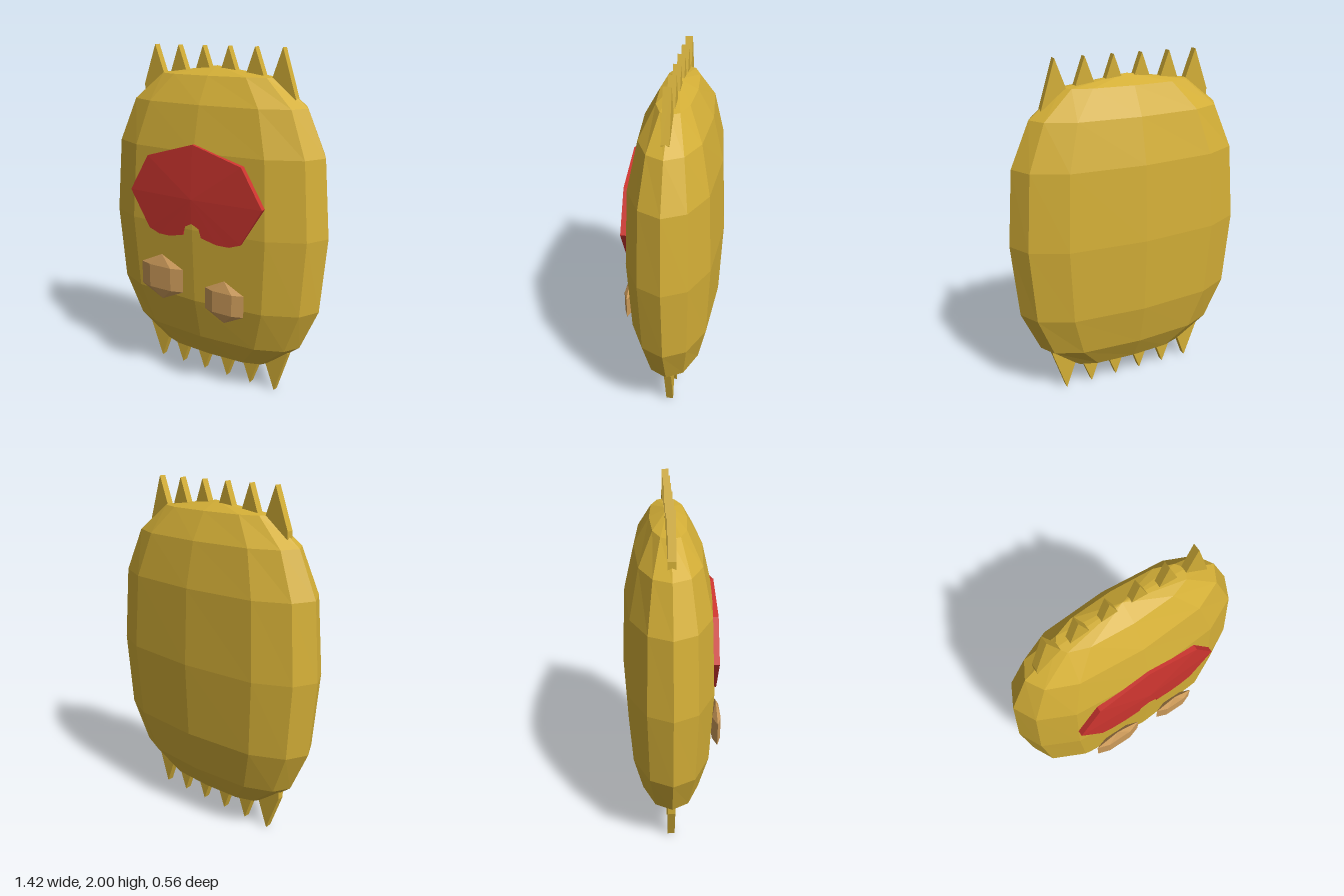
import * as THREE from 'three';

const gold = new THREE.MeshStandardMaterial({ color: 0xd4af37 });
gold.name = 'gold';
const red = new THREE.MeshStandardMaterial({ color: 0xcd352f });
red.name = 'red';
const tan = new THREE.MeshStandardMaterial({ color: 0xcd9b5a });
tan.name = 'tan';

// Faceted mesh: split the faces so each gets its own normal
function faceted(geometry, material, name) {
  const geo = geometry.index ? geometry.toNonIndexed() : geometry;
  geo.computeVertexNormals();
  const mesh = new THREE.Mesh(geo, material);
  mesh.name = name;
  return mesh;
}

// Signed power, squares off a round section
const squared = (v, e) => Math.sign(v) * Math.pow(Math.abs(v), e);

// Flattened, squared-off low-poly ball
function makeBody() {
  const geo = new THREE.SphereGeometry(1, 12, 8);
  const p = geo.attributes.position;
  for (let i = 0; i < p.count; i++) {
    const x = Math.abs(p.getX(i)) < 1e-6 ? 0 : p.getX(i);
    const y = Math.abs(p.getY(i)) < 1e-6 ? 0 : p.getY(i);
    p.setXYZ(i, 0.712 * squared(x, 0.67), 1.003 + 0.89 * squared(y, 0.74), -0.012 + 0.265 * p.getZ(i));
  }
  return faceted(geo, gold, 'body');
}

// Row of six teeth as one thin zigzag plate; dir = 1 on top, -1 below
function makeTeeth(dir, name) {
  const y = (h) => 1 + dir * h;
  const pitch = 1 / 6;
  const pts = [new THREE.Vector2(-0.5, y(0.7)), new THREE.Vector2(-0.5, y(0.775))];
  for (let i = 0; i < 6; i++) {
    const x = -0.5 + i * pitch;
    pts.push(new THREE.Vector2(x + pitch / 2, y(1)));
    pts.push(new THREE.Vector2(x + pitch, y(i < 5 ? 0.775 : 0.74)));
  }
  pts.push(new THREE.Vector2(0.5, y(0.7)));
  const geo = new THREE.ExtrudeGeometry(new THREE.Shape(pts), { depth: 0.042, bevelEnabled: false });
  geo.translate(0, 0, -0.033);
  return faceted(geo, gold, name);
}

// Bulged mask: a fan of facets around its centre plus a rim
function makeMask() {
  const half = [[0.31, 1.395], [0.44, 1.18], [0.31, 0.965], [0.24, 0.94], [0.16, 0.94], [0.06, 0.965], [0.06, 1.01]];
  const mirrored = half.map(([x, y]) => [-x, y]).reverse();
  const outline = [[0, 1.485], ...half, [0, 1.04], ...mirrored];
  const cy = 1.18;
  const front = ([x, y]) => [x, y, 0.262 - 0.02 * (x / 0.44) ** 2 - 0.02 * ((y - cy) / 0.3) ** 2];
  const back = ([x, y]) => [x, y, 0.19];
  const v = [];
  outline.forEach((a, i) => {
    const b = outline[(i + 1) % outline.length];
    v.push(...front([0, cy]), ...front(b), ...front(a));
    v.push(...front(a), ...front(b), ...back(b));
    v.push(...front(a), ...back(b), ...back(a));
  });
  const geo = new THREE.BufferGeometry();
  geo.setAttribute('position', new THREE.Float32BufferAttribute(v, 3));
  return faceted(geo, red, 'mask');
}

// Flattened six-sided bump
function makeBump(x, y, z, rx, ry, name) {
  const geo = new THREE.SphereGeometry(1, 6, 3);
  geo.scale(rx, ry, 0.032);
  geo.translate(x, y, z);
  return faceted(geo, tan, name);
}

export function createModel() {
  const model = new THREE.Group();
  model.name = 'model';
  model.add(
    makeBody(),
    makeTeeth(1, 'topTeeth'),
    makeTeeth(-1, 'bottomTeeth'),
    makeMask(),
    makeBump(-0.215, 0.68, 0.254, 0.172, 0.14, 'rightBump'),
    makeBump(0.212, 0.612, 0.249, 0.147, 0.127, 'leftBump')
  );
  return model;
}
